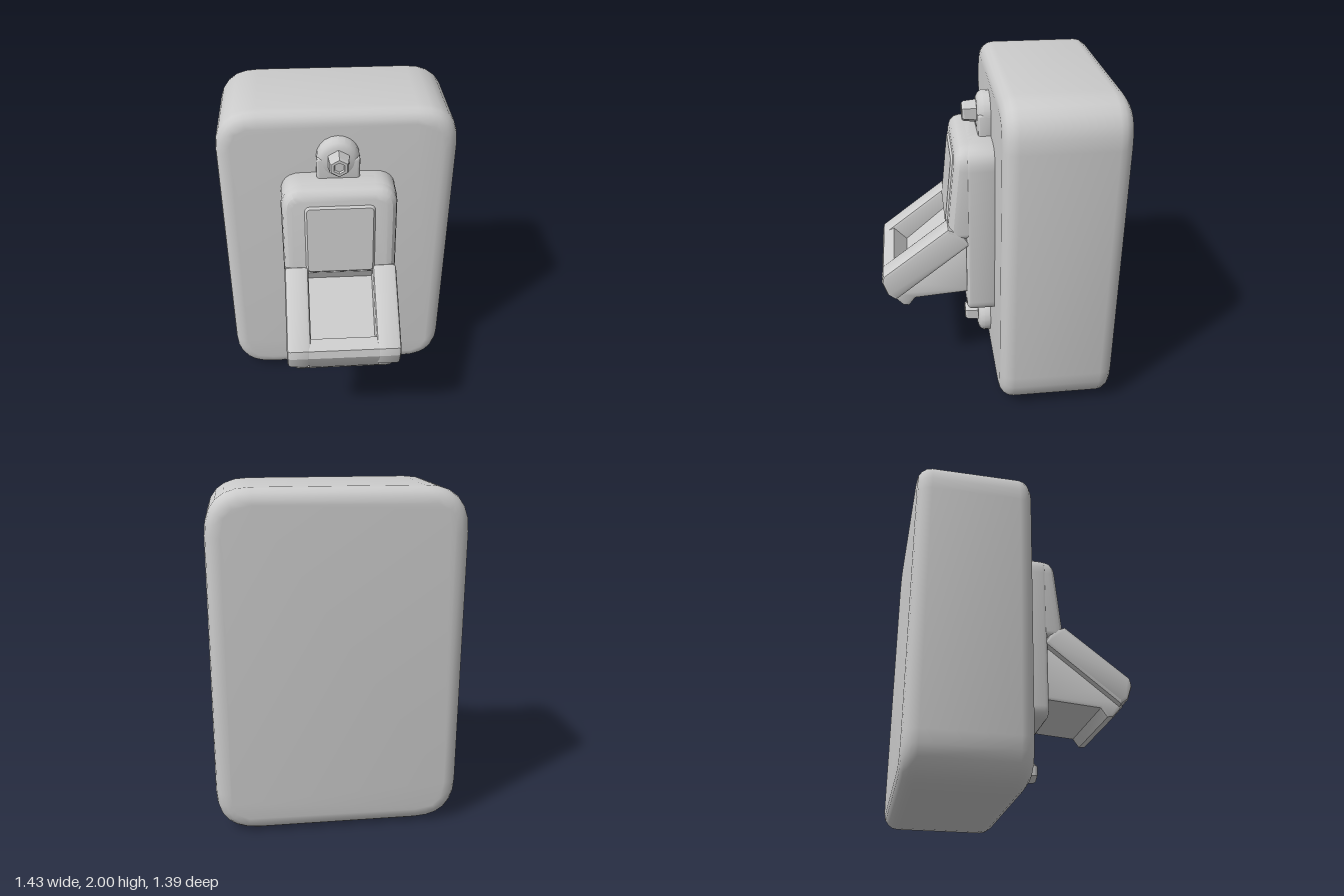
import * as THREE from 'three';
import { toCreasedNormals } from 'three/addons/utils/BufferGeometryUtils.js';

const material = new THREE.MeshStandardMaterial({ color: 0xcccccc });

function add(parent, name, geometry, crease = 0.5) {
  const mesh = new THREE.Mesh(toCreasedNormals(geometry, crease), material);
  mesh.name = name;
  parent.add(mesh);
  return mesh;
}

// Rounded rectangle with separate radii for the top and bottom corners
function roundedRect(w, y0, y1, top, bottom = top) {
  const s = new THREE.Shape();
  s.moveTo(-w + bottom, y0);
  s.lineTo(w - bottom, y0);
  s.quadraticCurveTo(w, y0, w, y0 + bottom);
  s.lineTo(w, y1 - top);
  s.quadraticCurveTo(w, y1, w - top, y1);
  s.lineTo(-w + top, y1);
  s.quadraticCurveTo(-w, y1, -w, y1 - top);
  s.lineTo(-w, y0 + bottom);
  s.quadraticCurveTo(-w, y0, -w + bottom, y0);
  return s;
}

// Bevelled slab from z0 to z1 whose outline keeps its drawn size
function slab(shape, z0, z1, bevel, segments = 3) {
  const g = new THREE.ExtrudeGeometry(shape, {
    depth: z1 - z0 - 2 * bevel, bevelThickness: bevel, bevelSize: bevel,
    bevelOffset: -bevel, bevelSegments: segments, curveSegments: 6,
  });
  return g.translate(0, 0, z0 + bevel);
}

// Side profile given as [z, y] points, extruded across x around a centre
function sideExtrude(points, width, x = 0, bevel = 0) {
  const shape = new THREE.Shape(points.map(([z, y]) => new THREE.Vector2(z, y)));
  const g = bevel
    ? slab(shape, -width / 2, width / 2, bevel, 2)
    : new THREE.ExtrudeGeometry(shape, { depth: width, bevelEnabled: false }).translate(0, 0, -width / 2);
  return g.rotateY(-Math.PI / 2).translate(x, 0, 0);
}

// Slope the front of a slab so that it gets thicker downwards
function slopeFront(g, zMin) {
  const p = g.attributes.position;
  for (let i = 0; i < p.count; i++) {
    if (p.getZ(i) > zMin) p.setZ(i, p.getZ(i) + (1.6 - p.getY(i)) * 0.104);
  }
  return g;
}

export function createModel() {
  const model = new THREE.Group();
  model.name = 'wallSwitchBox';

  // Housing
  add(model, 'housing', slab(roundedRect(0.715, 0.005, 2, 0.25), -0.695, 0.005, 0.085, 4), 0.7);

  // Switch plate: flat base, thicker sloping upper part, raised panel
  const plate = new THREE.Group();
  plate.name = 'switchPlate';
  model.add(plate);
  add(plate, 'plateBase', slab(roundedRect(0.345, 0.51, 1.62, 0.13, 0.07), -0.02, 0.175, 0.03));
  add(plate, 'plateUpper', slopeFront(slab(roundedRect(0.34, 1.04, 1.62, 0.13, 0.04), 0, 0.23, 0.06), 0.1));
  add(plate, 'platePanel', slopeFront(slab(roundedRect(0.21, 1.08, 1.53, 0.04), 0.19, 0.242, 0.015, 1), 0));

  // Lever: side rails around an open pocket, on a narrower underside
  const lever = new THREE.Group();
  lever.name = 'lever';
  model.add(lever);
  const rail = [[0.15, 1.0], [0.62, 0.63], [0.67, 0.67], [0.7, 0.76], [0.69, 0.81], [0.285, 1.12], [0.2, 1.08]];
  for (const side of [-1, 1]) {
    add(lever, side < 0 ? 'rightRail' : 'leftRail', sideExtrude(rail, 0.145, side * 0.2675, 0.022), 0.4);
  }
  const pocket = [
    [0.15, 0.64], [0.5, 0.61], [0.54, 0.56], [0.58, 0.565], [0.65, 0.64], [0.7, 0.76], [0.69, 0.81],
    [0.62, 0.845], [0.54, 0.76], [0.25, 1.01], [0.28, 1.09], [0.15, 1.09],
  ];
  add(lever, 'pocket', sideExtrude(pocket, 0.42), 0.4);
  const underside = [
    [0.1, 0.64], [0.5, 0.61], [0.54, 0.555], [0.58, 0.56], [0.65, 0.64], [0.64, 0.67], [0.52, 0.74], [0.2, 0.98], [0.1, 0.98],
  ];
  add(lever, 'underside', sideExtrude(underside, 0.6, 0, 0.02), 0.4);

  // Mounting screws: round boss with a tapered hexagonal head
  for (const [name, y, r] of [['topScrew', 1.73, 0.128], ['bottomScrew', 0.27, 0.138]]) {
    const screw = new THREE.Group();
    screw.name = name;
    screw.position.y = y;
    model.add(screw);
    const profile = (pts, n) =>
      new THREE.LatheGeometry(pts.map(([a, b]) => new THREE.Vector2(a, b)), n).rotateX(Math.PI / 2);
    add(screw, 'boss', profile([[r, -0.02], [r, 0.045], [r - 0.015, 0.07], [r - 0.04, 0.083], [0, 0.083]], 20), 0.6);
    add(screw, 'head', profile([[0.073, 0.06], [0.07, 0.1], [0.064, 0.155], [0.054, 0.168], [0.036, 0.168], [0.03, 0.155], [0, 0.155]], 6), 0.3)
      .position.y = 0.005;
  }

  // Tab joining the top screw to the plate
  add(model, 'topTab', slab(roundedRect(0.128, 1.57, 1.75, 0.02), -0.02, 0.08, 0.02));

  return model;
}
